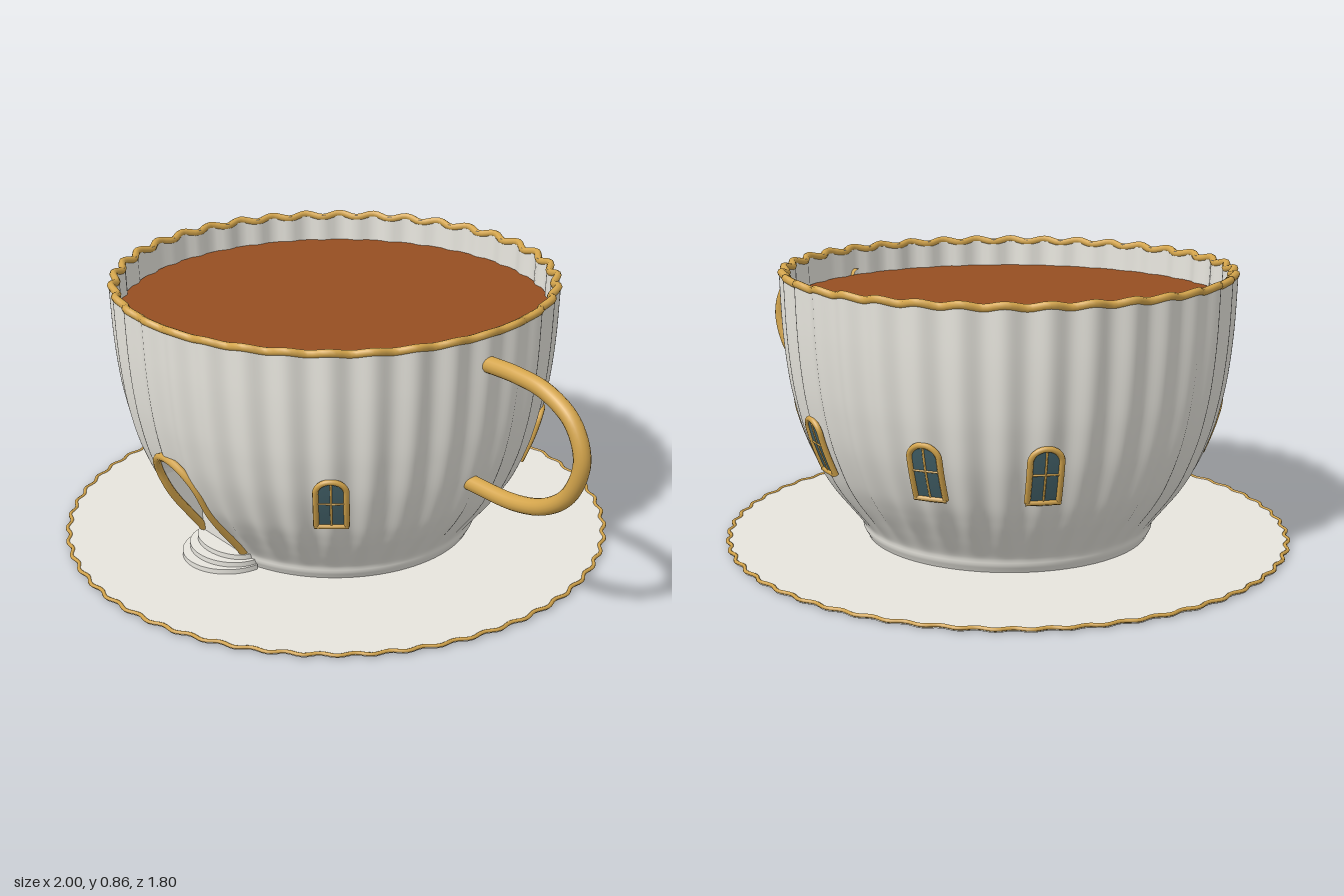
import * as THREE from 'three';
import { ParametricGeometry } from 'three/addons/geometries/ParametricGeometry.js';

const mat = (name, color, side = THREE.DoubleSide) => {
  const m = new THREE.MeshStandardMaterial({ color, side });
  m.name = name;
  return m;
};
const V = (x, y, z) => new THREE.Vector3(x, y, z);
const FLUTES = 36, TAU = Math.PI * 2;

// Bowl profile, radius against height
const profile = new THREE.SplineCurve([
  [0.45, 0.012], [0.463, 0.035], [0.468, 0.06], [0.51, 0.12], [0.56, 0.19], [0.6, 0.26],
  [0.643, 0.37], [0.67, 0.48], [0.685, 0.58], [0.695, 0.7], [0.7, 0.85],
].map(([r, y]) => new THREE.Vector2(r, y))).getPoints(200);

function radiusAt(y) {
  let i = 1;
  while (i < profile.length - 1 && profile[i].y < y) i++;
  const a = profile[i - 1], b = profile[i];
  const t = THREE.MathUtils.clamp((y - a.y) / (b.y - a.y), 0, 1);
  return a.x + (b.x - a.x) * t;
}

// Point on the bowl: angle from the front, sideways shift, height, outward offset
function onBowl(angle, s, y, off = 0) {
  const r = radiusAt(y) + off, a = angle + Math.asin(s / r);
  return V(Math.sin(a) * r, y, Math.cos(a) * r);
}

// Outline of a round-topped opening as [sideways, height] pairs
function arch(half, y0, top, rise = half) {
  const pts = [], spring = top - rise;
  for (let i = 0; i <= 8; i++) pts.push([-half, y0 + (spring - y0) * i / 8]);
  for (let i = 1; i < 16; i++) {
    const a = Math.PI * (1 - i / 16);
    pts.push([Math.cos(a) * half, spring + Math.sin(a) * rise]);
  }
  for (let i = 8; i >= 0; i--) pts.push([half, y0 + (spring - y0) * i / 8]);
  return pts;
}

// Fluted wall made of rings, with an optional test for cells to leave open
function wall(rows, cols, y0, y1, inset, isOpen) {
  const pos = [], index = [];
  for (let j = 0; j <= rows; j++) {
    const y = y0 + (y1 - y0) * j / rows;
    const amp = 0.008 * THREE.MathUtils.smoothstep(y, 0.04, 0.2);
    for (let i = 0; i < cols; i++) {
      const a = TAU * i / cols;
      const r = radiusAt(y) - inset + amp * Math.cos(FLUTES * a);
      pos.push(Math.sin(a) * r, y, Math.cos(a) * r);
    }
  }
  for (let j = 0; j < rows; j++) for (let i = 0; i < cols; i++) {
    const a = j * cols + i, b = j * cols + (i + 1) % cols, c = a + cols, d = b + cols;
    const mid = [0, 1, 2].map(k => (pos[a * 3 + k] + pos[d * 3 + k]) / 2);
    if (!isOpen || !isOpen(...mid)) index.push(a, b, d, a, d, c);
  }
  const g = new THREE.BufferGeometry();
  g.setAttribute('position', new THREE.Float32BufferAttribute(pos, 3));
  g.setIndex(index);
  g.computeVertexNormals();
  return g;
}

const tube = (pts, radius, segs, closed = false, sides = 8) => new THREE.TubeGeometry(
  new THREE.CatmullRomCurve3(pts, closed, 'centripetal'), segs, radius, sides, closed);

export function createModel() {
  const model = new THREE.Group();
  model.name = 'teacupHouse';
  const porcelain = mat('porcelain', 0xf2f0e8);
  const gold = mat('gold', 0xd4a54c, THREE.FrontSide);
  const tea = mat('tea', 0x964f22, THREE.FrontSide);
  const glass = mat('glass', 0x45646c);
  const add = (name, geometry, material, parent = model) => {
    const m = new THREE.Mesh(geometry, material);
    m.name = name;
    parent.add(m);
    return m;
  };

  // Saucer with a scalloped gold edge
  const edge = [];
  for (let i = 0; i < 448; i++) {
    const a = TAU * i / 448, r = 0.888 + 0.006 * Math.cos(56 * a);
    edge.push(new THREE.Vector2(Math.cos(a) * r, Math.sin(a) * r));
  }
  const plate = new THREE.ExtrudeGeometry(new THREE.Shape(edge), { depth: 0.01, bevelEnabled: false });
  add('saucer', plate.rotateX(-Math.PI / 2), porcelain);
  add('saucerRim', tube(edge.map(p => V(p.x, 0.009, -p.y)), 0.006, 448, true, 6), gold);

  // Bowl with a doorway cut through it, plus the inner lip
  const H = 0.108, TOP = 0.4, BASE = 0.055;
  const inDoorway = (x, y, z) => z > 0 && Math.abs(x) < H && y > BASE &&
    (y < TOP - H || Math.hypot(x, y - (TOP - H)) < H);
  add('bowl', wall(100, 432, 0.01, 0.85, 0, inDoorway), porcelain);
  add('innerWall', wall(8, 216, 0.7, 0.85, 0.016), porcelain);

  // Scalloped gold lip
  const lip = [];
  for (let i = 0; i < FLUTES * 8; i++) {
    const a = TAU * i / (FLUTES * 8), c = Math.cos(FLUTES * a), r = 0.693 + 0.008 * c;
    lip.push(V(Math.sin(a) * r, 0.846 + 0.005 * c, Math.cos(a) * r));
  }
  add('lip', tube(lip, 0.012, FLUTES * 8, true), gold);

  // Tea surface
  add('tea', new THREE.CircleGeometry(0.683, 96).rotateX(-Math.PI / 2), tea).position.y = 0.76;

  // Handle
  add('handle', tube([
    V(0.67, 0.755, 0), V(0.82, 0.757, 0), V(0.93, 0.742, 0), V(1.03, 0.685, 0), V(1.073, 0.585, 0),
    V(1.035, 0.47, 0), V(0.95, 0.4, 0), V(0.83, 0.365, 0), V(0.63, 0.36, 0),
  ], 0.025, 64, false, 16), gold);

  // Doorway: upright door set back behind the jamb, gold arch and knob
  const door = new THREE.Group();
  door.name = 'door';
  model.add(door);
  const outline = arch(H, BASE, TOP), DOOR_Z = 0.465;
  add('doorPanel', new THREE.ShapeGeometry(new THREE.Shape(
    outline.map(p => new THREE.Vector2(...p)))), porcelain, door).position.z = DOOR_Z;
  add('doorJamb', new ParametricGeometry((u, v, out) => {
    const [s, y] = outline[Math.round(u * (outline.length - 1))];
    out.copy(onBowl(0, s, y));
    out.z = THREE.MathUtils.lerp(DOOR_Z, out.z, v);
  }, outline.length - 1, 2), porcelain, door);
  add('doorArch', tube(outline.map(([s, y]) => onBowl(0, s, y, 0.004)), 0.013, 80), gold, door);
  add('doorKnob', new THREE.SphereGeometry(0.013, 16, 12), gold, door).position.set(0.056, 0.182, DOOR_Z + 0.012);

  // Three half-round doorsteps
  [[0.15, 0.15, 0.026], [0.143, 0.118, 0.042], [0.13, 0.085, 0.058]].forEach(([rx, rz, top], i) => {
    const step = add('step' + (i + 1),
      new THREE.CylinderGeometry(1, 1, top - 0.008, 48, 1, false, -Math.PI / 2, Math.PI), porcelain);
    step.scale.set(rx, 1, rz);
    step.position.set(0, (top + 0.008) / 2, 0.437);
  });

  // Arched windows that follow the bowl
  const W = 0.045, Y0 = 0.275, Y1 = 0.445, RISE = 0.04;
  for (const deg of [50, 130, 160, 200, 230, 310]) {
    const a = THREE.MathUtils.degToRad(deg);
    const win = new THREE.Group();
    win.name = 'window';
    model.add(win);
    const headAt = s => Y1 - RISE + RISE * Math.sqrt(Math.max(0, 1 - (s / W) ** 2));
    add('windowPane', new ParametricGeometry((u, v, out) => {
      const s = W * (2 * u - 1);
      out.copy(onBowl(a, s, Y0 + (headAt(s) - Y0) * v, 0.009));
    }, 16, 10), glass, win);
    const frame = arch(W, Y0, Y1, RISE).map(([s, y]) => onBowl(a, s, y, 0.008));
    add('windowFrame', tube(frame, 0.009, 64), gold, win);
    const bar = (name, list, r) => add(name, tube(list.map(([s, y]) => onBowl(a, s, y, 0.009)), r, 10, false, 6), gold, win);
    bar('windowSill', [[-W - 0.006, Y0], [0, Y0], [W + 0.006, Y0]], 0.009);
    bar('windowMullion', [[0, Y0], [0, 0.33], [0, 0.39], [0, Y1]], 0.0035);
    bar('windowBar', [[-W, 0.365], [0, 0.365], [W, 0.365]], 0.0035);
  }

  // Shift so the handle and saucer balance about the middle
  for (const part of model.children) part.position.x -= 0.1;
  return model;
}
